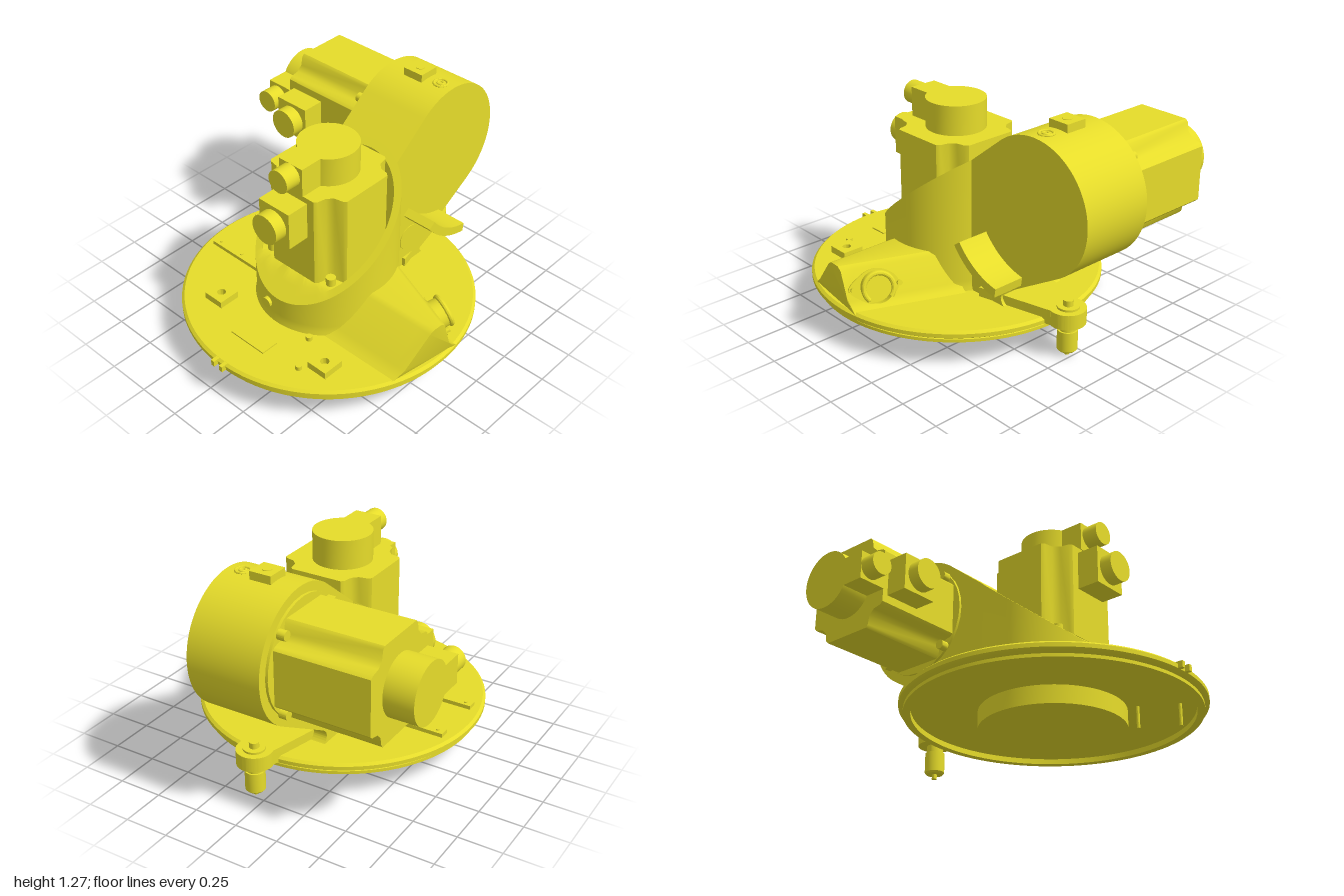
import * as THREE from 'three';
import { toCreasedNormals } from 'three/addons/utils/BufferGeometryUtils.js';

const mat = new THREE.MeshStandardMaterial({ color: 0xe6dc2a, side: THREE.DoubleSide });
const CX = -0.17, CZ = 0.07;                      // tower and base axis
const slope = x => 0.39 + 0.8 * (x + 0.56);       // slanted cut over tower and arm

function add(parent, name, geo, x = 0, y = 0, z = 0) {
  const m = new THREE.Mesh(toCreasedNormals(geo, 0.6), mat);
  m.name = name;
  m.position.set(x, y, z);
  parent.add(m);
  return m;
}
const box = (w, h, d) => new THREE.BoxGeometry(w, h, d);
const cyl = (r, h, n = 32) => new THREE.CylinderGeometry(r, r, h, n);
const cylX = (r, h) => cyl(r, h).rotateZ(Math.PI / 2);
const cylZ = (r, h) => cyl(r, h).rotateX(Math.PI / 2);
const poly = pts => new THREE.Shape(pts.map(p => new THREE.Vector2(...p)));
const extrude = (shape, depth, steps = 1) =>
  new THREE.ExtrudeGeometry(shape, { depth, steps, bevelEnabled: false, curveSegments: 40 });
const lathe = (pts, n = 96) => new THREE.LatheGeometry(pts.map(p => new THREE.Vector2(...p)), n);

function moveVertices(geo, rule) {
  const p = geo.attributes.position, v = new THREE.Vector3();
  for (let i = 0; i < p.count; i++) {
    v.fromBufferAttribute(p, i);
    rule(v);
    p.setXYZ(i, v.x, v.y, v.z);
  }
  return geo;
}

// Servo motor standing on y = 0, plugs towards -x
function createMotor(name) {
  const g = new THREE.Group();
  g.name = name;
  const corner = [[0.27, 0.15], [0.255, 0.165], [0.205, 0.175], [0.175, 0.205], [0.165, 0.255], [0.15, 0.27]];
  const pts = [];
  for (let q = 0; q < 4; q++) {
    const c = Math.round(Math.cos(q * Math.PI / 2)), s = Math.round(Math.sin(q * Math.PI / 2));
    corner.forEach(([x, y]) => pts.push([x * c - y * s, x * s + y * c]));
  }
  add(g, 'motorBody', extrude(poly(pts), 0.53).rotateX(-Math.PI / 2));
  add(g, 'motorCap', cyl(0.165, 0.165, 48), 0, 0.6125, 0);
  add(g, 'capExtension', box(0.275, 0.165, 0.16), -0.1375, 0.6125, 0);
  add(g, 'upperPlug', cylX(0.065, 0.1), -0.315, 0.63, 0);
  add(g, 'plugBox', box(0.14, 0.215, 0.21), -0.33, 0.39, 0);
  add(g, 'lowerPlug', cylX(0.085, 0.08), -0.43, 0.39, 0);
  for (const x of [-0.215, 0.215]) for (const z of [-0.215, 0.215])
    add(g, 'motorScrew', cyl(0.027, 0.045, 20), x, 0.0225, z);
  return g;
}

function createBase(g) {
  add(g, 'baseDisc', lathe([[0, 0.18], [0.75, 0.18], [0.75, 0.15], [0.79, 0.15], [0.79, 0.168], [0.77, 0.176],
    [0.8, 0.18], [0.815, 0.19], [0.815, 0.212], [0.8, 0.225], [0, 0.225]]), CX + 0.01, 0, CZ);
  add(g, 'lowerBoss', cyl(0.395, 0.11, 72), CX + 0.02, 0.135, CZ + 0.005);

  // Drilled square pads
  for (const z of [-0.29, 0.49]) {
    const s = poly([[-0.063, -0.063], [0.063, -0.063], [0.063, 0.063], [-0.063, 0.063]]);
    s.holes.push(new THREE.Path().absarc(0, 0, 0.024, 0, Math.PI * 2));
    add(g, 'squarePad', extrude(s, 0.045).rotateX(-Math.PI / 2), -0.635, 0.22, z);
  }
  // Rails with two screws each
  for (const x of [-0.325, 0.013]) {
    add(g, 'rail', box(0.057, 0.025, 0.38), x, 0.235, -0.48);
    for (const z of [-0.63, -0.46]) add(g, 'railScrew', cyl(0.01, 0.008, 12), x, 0.25, z);
  }
  add(g, 'blankPlate', box(0.105, 0.01, 0.24), -0.735, 0.228, 0.07);
  for (const z of [0.035, 0.095]) add(g, 'rimPointer', box(0.05, 0.035, 0.022), -0.975, 0.207, z);
  for (const [x, z] of [[-0.735, 0.4], [-0.545, 0.29]]) {
    add(g, 'guidePin', cyl(0.009, 0.18, 12), x, 0.15, z);
    add(g, 'pinHead', cyl(0.018, 0.03, 16), x, 0.235, z);
  }

  // Stop lug with its post
  const lug = new THREE.Shape();
  lug.moveTo(0.25, -0.2);
  lug.lineTo(0.68, -0.096);
  lug.absarc(0.71, 0, 0.1, -1.87, 1.87, false);
  lug.lineTo(0.25, 0.2);
  add(g, 'stopLug', extrude(lug, 0.085).rotateX(-Math.PI / 2), 0, 0.193, 0.075);
  add(g, 'stopPost', lathe([[0, 0], [0.014, 0], [0.014, 0.027], [0.046, 0.027], [0.055, 0.037], [0.055, 0.15],
    [0.046, 0.15], [0.046, 0.2], [0, 0.2]], 32), 0.715, 0, 0.075);
  add(g, 'stopPinCollar', cyl(0.06, 0.014), 0.715, 0.283, 0.075);
  add(g, 'stopPinHead', cyl(0.027, 0.05, 24), 0.715, 0.298, 0.075);
}

function createTower(g) {
  // Cup cut off by the slanted plane, with a raised floor
  const cup = lathe([[0.405, 0.2], [0.392, 0.245], [0.39, 0.28], [0.39, 2], [0.35, 2], [0.35, 0.5],
    [0.31, 0.5], [0.26, 0.5], [0.2, 0.5], [0.1, 0.5], [0, 0.5]]);
  moveVertices(cup, v => { v.y = Math.min(v.y, slope(v.x + CX)); });
  add(g, 'tower', cup, CX, 0, CZ);
  add(g, 'towerScrew', cylX(0.03, 0.04), -0.555, 0.325, 0.0);

  const motor = createMotor('towerMotor');
  motor.position.set(-0.155, 0.5, 0.07);
  g.add(motor);

  // Cable housing: shrinks to the disc edge, right wall leans inwards
  const s = poly([[-0.5, 0.21], [-0.45, 0.235], [-0.41, 0.265], [-0.26, 0.435], [-0.23, 0.45], [-0.01, 0.45],
    [0.015, 0.43], [0.065, 0.27], [0.09, 0.24], [0.13, 0.21]]);
  const housing = moveVertices(extrude(s, 1, 8), v => {
    const reach = CZ + Math.sqrt(0.805 ** 2 - (Math.min(v.x, -0.16) + 0.16) ** 2);
    v.z = 0.3 + v.z * (reach - 0.3);
    if (v.x > -0.1) v.x -= 0.4 * (v.z - 0.465);
  });
  add(g, 'cableHousing', housing);

  // Cable gland on the leaning wall
  const gland = new THREE.Group();
  gland.name = 'cableGland';
  gland.position.set(-0.065, 0.325, 0.72);
  gland.lookAt(0.82, 0.62, 1.07);
  const plate = new THREE.Shape();
  plate.moveTo(-0.15, 0);
  plate.quadraticCurveTo(-0.14, -0.03, -0.09, -0.06);
  plate.quadraticCurveTo(0, -0.13, 0.09, -0.06);
  plate.quadraticCurveTo(0.16, 0, 0.09, 0.06);
  plate.quadraticCurveTo(0, 0.13, -0.09, 0.06);
  plate.quadraticCurveTo(-0.14, 0.03, -0.15, 0);
  add(gland, 'glandPlate', extrude(plate, 0.03), 0, 0, -0.01);
  add(gland, 'glandCollar', new THREE.CylinderGeometry(0.08, 0.085, 0.07, 40, 1, true).rotateX(Math.PI / 2), 0, 0, 0.05);
  add(gland, 'glandRing', new THREE.TorusGeometry(0.08, 0.014, 10, 40, 4.6).rotateZ(-0.7), 0, 0, 0.08);
  for (const x of [-0.125, 0.125]) add(gland, 'glandScrew', cylZ(0.014, 0.03), x, 0, 0.025);
  g.add(gland);
}

function createArm(g) {
  const hx = 0.62, hy = 0.86, R = 0.37;
  // Arm and drum in one outline; the inner end follows the tower wall
  const s = new THREE.Shape();
  s.moveTo(0.1, 0.2);
  s.lineTo(0.45, 0.2);
  s.quadraticCurveTo(0.36, 0.265, 0.43, 0.315);
  s.absarc(hx, hy, R, -1.03, 2.244, false);
  s.lineTo(0.1, slope(0.1));
  const arm = extrude(s, 0.425, 10);
  arm.translate(0, 0, -0.17);
  moveVertices(arm, v => {
    if (v.x > 0.11) return;
    v.x = CX + Math.sqrt(0.37 ** 2 - (v.z - CZ) ** 2);
    if (v.y > 0.3) v.y = slope(v.x);
  });
  add(g, 'arm', arm);
  add(g, 'motorSeat', cylZ(0.32, 0.03), hx, hy, -0.17);
  for (const z of [-0.17, 0.255]) add(g, 'armPlug', cylZ(0.077, 0.008), 0.3, 0.4, z);

  // Curved stop concentric with the drum
  const a = 3.78, b = 4.56;
  const stop = new THREE.Shape();
  stop.absarc(0, 0, 0.465, a, b, false);
  stop.absarc(0, 0, 0.415, b, a, true);
  add(g, 'curvedStop', extrude(stop, 0.2), hx, hy, 0.24);

  // Pad and eye bolt on the crown
  add(g, 'crownPad', box(0.125, 0.05, 0.125), hx, 1.245, 0.025);
  add(g, 'crownHole', cyl(0.025, 0.004, 24), hx, 1.271, 0.025);
  for (const r of [0.038, 0.016])
    add(g, 'crownRing', new THREE.TorusGeometry(r, 0.007, 8, 28).rotateX(Math.PI / 2), hx, 1.23, 0.17);

  const motor = createMotor('armMotor');
  motor.rotation.x = -Math.PI / 2;
  motor.position.set(hx, 0.855, -0.185);
  g.add(motor);
}

export function createModel() {
  const g = new THREE.Group();
  g.name = 'robotShoulder';
  createBase(g);
  createTower(g);
  createArm(g);
  return g;
}
